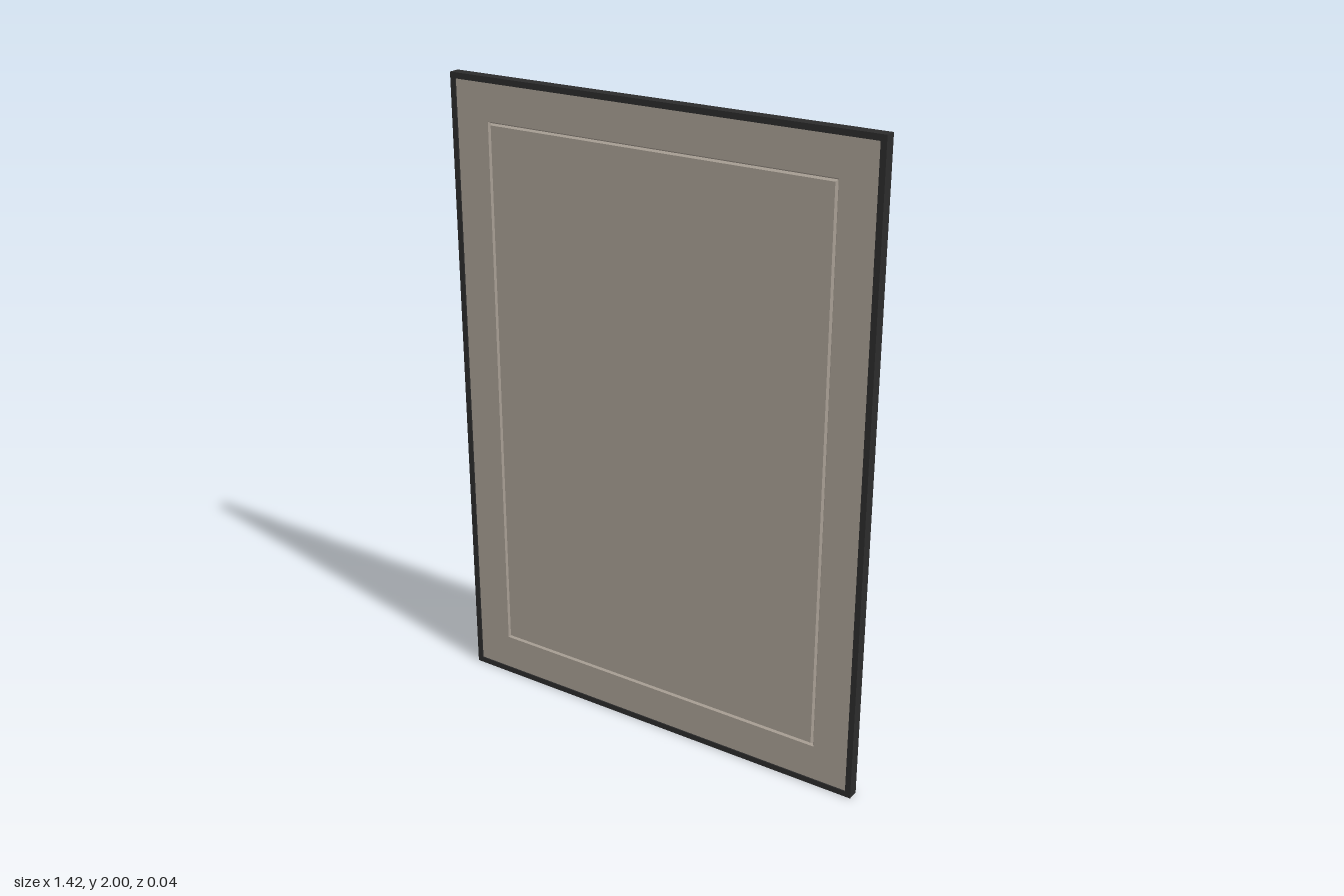
import * as THREE from 'three';

const HALF_W = 0.71, HALF_H = 1, HALF_D = 0.018; // overall half sizes
const BORDER = 0.018;                            // visible width of the edge frame
const FACE = 0.014;                              // panel faces sit slightly inside the frame
const GROOVE = 0.137, GROOVE_W = 0.01, GROOVE_D = 0.008;

// Joins a chain of concentric rectangles [halfWidth, halfHeight, z] with flat mitred faces.
function rectangleLoft(sections) {
  const signs = [[-1, -1], [1, -1], [1, 1], [-1, 1]];
  const positions = [];
  const corner = ([w, h, z], i) => [signs[i % 4][0] * w, signs[i % 4][1] * h, z];
  for (let s = 0; s < sections.length - 1; s++) {
    const from = sections[s], to = sections[s + 1];
    for (let i = 0; i < 4; i++) {
      const a = corner(from, i), b = corner(from, i + 1);
      const c = corner(to, i + 1), d = corner(to, i);
      if (from[0] > 0) positions.push(...a, ...b, ...c);
      if (to[0] > 0) positions.push(...a, ...c, ...d);
    }
  }
  const geometry = new THREE.BufferGeometry();
  geometry.setAttribute('position', new THREE.Float32BufferAttribute(positions, 3));
  geometry.computeVertexNormals();
  return geometry;
}

// Rectangle set in from the outer edge by a margin
const inset = (margin, z) => [HALF_W - margin, HALF_H - margin, z];

export function createModel() {
  const group = new THREE.Group();
  group.name = 'framedPanel';

  const black = new THREE.MeshStandardMaterial({ color: 0x2b2b2b });
  black.name = 'charcoal';
  const taupe = new THREE.MeshStandardMaterial({ color: 0xa89f94 });
  taupe.name = 'warmGrey';

  const add = (name, geometry, material) => {
    const mesh = new THREE.Mesh(geometry, material);
    mesh.name = name;
    mesh.position.y = HALF_H;
    group.add(mesh);
  };

  // Thin edge frame around all four sides
  add('edgeFrame', rectangleLoft([
    inset(BORDER, -HALF_D), inset(0, -HALF_D), inset(0, HALF_D),
    inset(BORDER, HALF_D), inset(BORDER, -HALF_D),
  ]), black);

  // Panel with a plain back and a V-groove rectangle cut in its front
  add('groovedPanel', rectangleLoft([
    [0, 0, -FACE], inset(BORDER, -FACE), inset(BORDER, FACE),
    inset(GROOVE - GROOVE_W / 2, FACE),
    inset(GROOVE, FACE - GROOVE_D),
    inset(GROOVE + GROOVE_W / 2, FACE),
    [0, 0, FACE],
  ]), taupe);

  return group;
}
